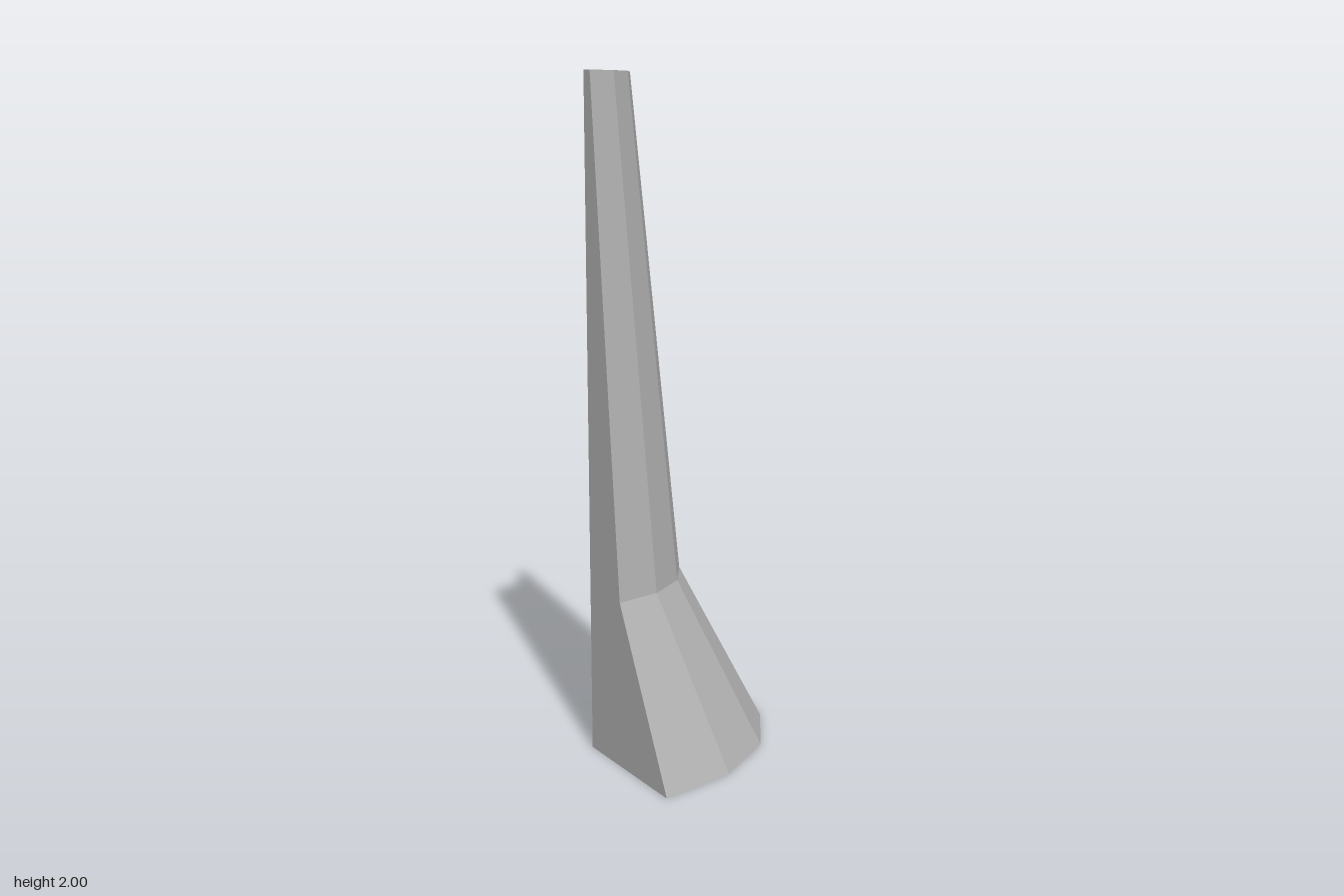
import * as THREE from 'three';

const concrete = new THREE.MeshStandardMaterial({ color: 0xb2b2b2, flatShading: true });
concrete.name = 'concrete grey';

// Radial cross-section [radius, height], counter-clockwise
const profile = [
  [0.188, 0], [0.624, 0], [0.365, 0.5], [0.224, 2], [0.188, 2],
];

// End face; mirror = -1 makes the opposite-facing cut
function endCap(name, mirror, angle) {
  const shape = new THREE.Shape(profile.map(([r, y]) => new THREE.Vector2(r * mirror, y)));
  const mesh = new THREE.Mesh(new THREE.ShapeGeometry(shape).rotateY(angle), concrete);
  mesh.name = name;
  return mesh;
}

export function createModel() {
  const group = new THREE.Group();
  group.name = 'cornerBarrier';

  // Quarter-turn sweep of the closed section in four facets
  const points = [...profile, profile[0]].map(([r, y]) => new THREE.Vector2(r, y));
  const body = new THREE.Mesh(new THREE.LatheGeometry(points, 4, 0, Math.PI / 2), concrete);
  body.name = 'curvedBarrierWall';

  group.add(
    body,
    endCap('rightEndFace', 1, -Math.PI / 2),
    endCap('backEndFace', -1, Math.PI),
  );

  // Centre the quarter ring on the origin
  for (const part of group.children) part.position.set(-0.312, 0, -0.312);
  return group;
}
